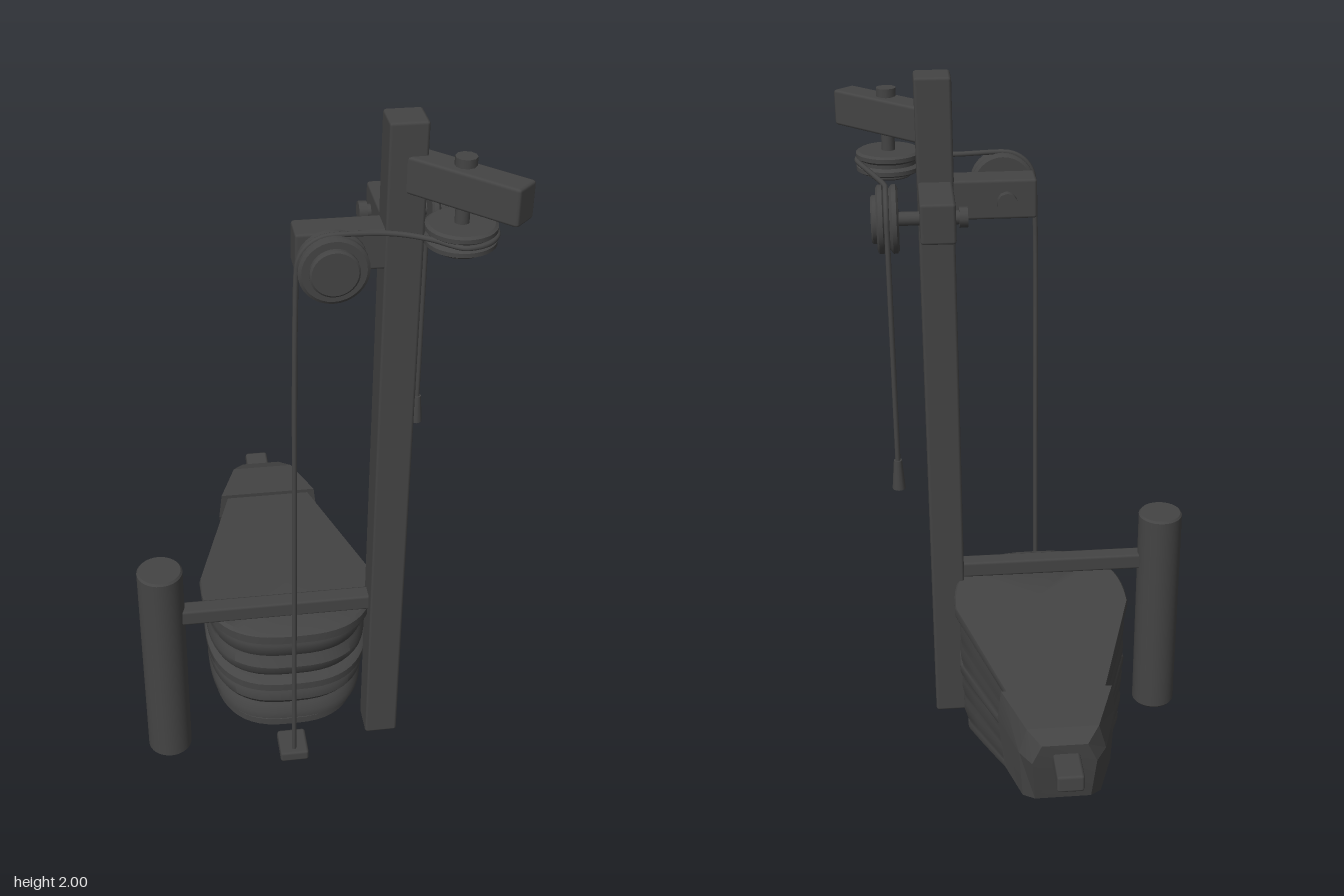
import * as THREE from 'three';
import { toCreasedNormals } from 'three/addons/utils/BufferGeometryUtils.js';
import { RoundedBoxGeometry } from 'three/addons/geometries/RoundedBoxGeometry.js';

const material = new THREE.MeshStandardMaterial({ color: 0x444444 });
const V = (x, y, z) => new THREE.Vector3(x, y, z);

function add(parent, name, geometry, x = 0, y = 0, z = 0) {
  const mesh = new THREE.Mesh(geometry, material);
  mesh.name = name;
  mesh.position.set(x, y, z);
  parent.add(mesh);
  return mesh;
}

const beam = (w, h, d) => new RoundedBoxGeometry(w, h, d, 1, 0.008);

// Closed skin through rings of points, with a fan over each end
function loft(rings, crease) {
  const n = rings[0].length, pos = [];
  const tri = (...pts) => pts.forEach(p => pos.push(p.x, p.y, p.z));
  const centre = ring => ring.reduce((s, p) => s.add(p), V(0, 0, 0)).divideScalar(n);
  const first = rings[0], last = rings[rings.length - 1];
  const c0 = centre(first), c1 = centre(last);
  for (let j = 0; j < n; j++) {
    const k = (j + 1) % n;
    for (let i = 0; i < rings.length - 1; i++) {
      const a = rings[i], b = rings[i + 1];
      tri(a[j], a[k], b[k]);
      tri(a[j], b[k], b[j]);
    }
    tri(c0, first[k], first[j]);
    tri(c1, last[j], last[k]);
  }
  const g = new THREE.BufferGeometry();
  g.setAttribute('position', new THREE.Float32BufferAttribute(pos, 3));
  g.computeVertexNormals();
  return toCreasedNormals(g, crease);
}

// Outline seen from above: straight tapering sides, full rounded front
function bellowsOutline() {
  const half = [];
  for (let i = 0; i <= 5; i++) half.push([0.085 + 0.17 * i / 5, -0.59 + 0.57 * i / 5]);
  for (let i = 1; i < 14; i++) {
    const a = i / 14 * Math.PI / 2;
    half.push([0.255 * Math.pow(Math.cos(a), 0.73), -0.02 + 0.285 * Math.pow(Math.sin(a), 0.78)]);
  }
  const left = half.map(([x, z]) => [-x, z]);
  return [...left, [0, 0.265], ...half.reverse()];
}

function bellowsBody() {
  // [height fraction, outline scale]: boards with leather folds between them
  const rows = [
    [0, 0.87], [0.015, 0.885], [0.065, 0.885], [0.075, 0.87],
    [0.11, 0.895], [0.16, 0.925], [0.21, 0.925], [0.25, 0.91], [0.265, 0.905],
    [0.30, 0.92], [0.35, 0.94], [0.41, 0.94], [0.45, 0.925],
    [0.46, 0.95], [0.475, 0.96], [0.525, 0.96], [0.54, 0.945],
    [0.55, 0.925], [0.60, 0.945], [0.65, 0.95], [0.70, 0.935],
    [0.72, 0.93], [0.77, 0.945], [0.83, 0.95], [0.89, 0.935], [0.915, 0.93],
    [0.92, 0.985], [0.93, 1], [0.985, 1], [1, 0.985],
  ];
  const outline = bellowsOutline();
  return loft(rows.map(([t, s]) => outline.map(([ox, oz]) => {
    const z = -0.59 + (oz + 0.59) * s;
    const f = (0.265 - z) / 0.725;
    const low = 0.018 + 0.14 * f + 0.05 * f * f, high = 0.5 - 0.03 * f;
    return V(-0.02 + ox * s, low + (high - low) * t, z);
  })), 0.6);
}

// Faceted cap; each section is [z, top half width, top y, middle half width, middle y, bottom half width, bottom y, bottom z]
function capGeometry() {
  const sections = [
    [-0.435, 0.150, 0.484, 0.160, 0.40, 0.145, 0.265, -0.475],
    [-0.590, 0.095, 0.474, 0.115, 0.40, 0.105, 0.250, -0.580],
    [-0.640, 0.060, 0.455, 0.085, 0.40, 0.075, 0.260, -0.610],
  ];
  return loft(sections.map(([z, wt, yt, w, ym, wb, yb, zb]) =>
    [[-w, ym, z], [-wt, yt, z], [wt, yt, z], [w, ym, z], [wb, yb, zb], [-wb, yb, zb]]
      .map(([x, y, pz]) => V(x - 0.02, y, pz))), 0.2);
}

// Grooved wheel with axle and bolt head; the outer hub points along +y
function pulley(name, axleLength) {
  const group = new THREE.Group();
  group.name = name;
  const profile = [[0, -0.028], [0.08, -0.028], [0.088, -0.023], [0.088, -0.012], [0.078, -0.005],
    [0.078, 0.005], [0.088, 0.012], [0.088, 0.023], [0.08, 0.028], [0.062, 0.028],
    [0.062, 0.038], [0.057, 0.042], [0, 0.042]].map(p => new THREE.Vector2(...p));
  add(group, 'wheel', toCreasedNormals(new THREE.LatheGeometry(profile, 32), 0.5));
  add(group, 'axle', new THREE.CylinderGeometry(0.018, 0.018, axleLength, 16), 0, -axleLength / 2, 0);
  add(group, 'boltHead', new THREE.CylinderGeometry(0.027, 0.027, 0.022, 10), 0, -axleLength + 0.008, 0);
  return group;
}

function ropeGeometry() {
  const pts = [V(-0.03, 0.04, 0.28), V(-0.03, 0.8, 0.28), V(-0.03, 1.5, 0.28)];
  const arc = (from, to, steps, point) => {
    for (let i = 0; i <= steps; i++) {
      const a = from + (to - from) * i / steps;
      pts.push(point(Math.cos(a), Math.sin(a)));
    }
  };
  const r = 0.086, q = Math.PI / 2;
  arc(2 * q, q, 6, (c, s) => V(0.06 + r * c, 1.672 + r * s, 0.276));
  pts.push(V(0.2, 1.754, 0.278), V(0.285, 1.75, 0.31));
  arc(q * 1.1, -q * 0.1, 6, (c, s) => V(0.369 + r * c, 1.747, 0.276 + r * s));
  pts.push(V(0.43, 1.75, 0.175), V(0.402, 1.754, 0.078));
  arc(q, 2 * q, 6, (c, s) => V(0.379, 1.672 + r * s, -0.018 + r * c));
  pts.push(V(0.379, 1.5, -0.115), V(0.379, 1.02, -0.115));
  return new THREE.TubeGeometry(new THREE.CatmullRomCurve3(pts), 300, 0.007, 8);
}

export function createModel() {
  const model = new THREE.Group();
  model.name = 'forgeBellows';
  const frame = new THREE.Group();
  frame.name = 'frame';
  frame.rotation.y = -0.663;
  model.add(frame);

  // Posts and beams
  add(frame, 'mainPost', beam(0.097, 1.982, 0.097), 0.249, 1.009, 0.16);
  const stake = [[0, 0], [0.06, 0], [0.065, 0.006], [0.065, 0.674], [0.06, 0.68], [0, 0.68]]
    .map(p => new THREE.Vector2(...p));
  add(frame, 'roundPost', toCreasedNormals(new THREE.LatheGeometry(stake, 32), 0.6), -0.395, 0, 0.148);
  add(frame, 'crossBar', beam(0.62, 0.05, 0.05), -0.08, 0.518, 0.155);
  add(frame, 'sideArm', beam(0.27, 0.108, 0.088), 0.115, 1.673, 0.16);
  add(frame, 'backArm', beam(0.092, 0.108, 0.24), 0.25, 1.673, 0.04);
  const topArm = add(frame, 'topArm', beam(0.074, 0.096, 0.335), 0.25 + 0.118, 1.867, 0.16 + 0.118);
  topArm.rotation.y = Math.PI / 4;

  // Pulleys
  const sidePulley = pulley('sidePulley', 0.185);
  sidePulley.position.set(0.062, 1.672, 0.272);
  sidePulley.rotation.x = Math.PI / 2;
  const backPulley = pulley('backPulley', 0.202);
  backPulley.position.set(0.377, 1.672, -0.016);
  backPulley.rotation.z = -Math.PI / 2;
  const topPulley = pulley('topPulley', 0.192);
  topPulley.position.set(0.369, 1.745, 0.276);
  topPulley.rotation.x = Math.PI;
  frame.add(sidePulley, backPulley, topPulley);

  // Rope and pull
  add(frame, 'rope', ropeGeometry());
  add(frame, 'ropePull', new THREE.CylinderGeometry(0.011, 0.018, 0.085, 12), 0.379, 0.988, -0.115);

  // Bellows
  add(frame, 'bellowsBody', bellowsBody());
  add(frame, 'bellowsCap', capGeometry());
  const nozzle = add(frame, 'nozzle', beam(0.072, 0.048, 0.16), -0.025, 0.402, -0.66);
  nozzle.rotation.x = 0.08;
  add(frame, 'pullTab', beam(0.085, 0.035, 0.1), -0.03, 0.042, 0.252);
  return model;
}
